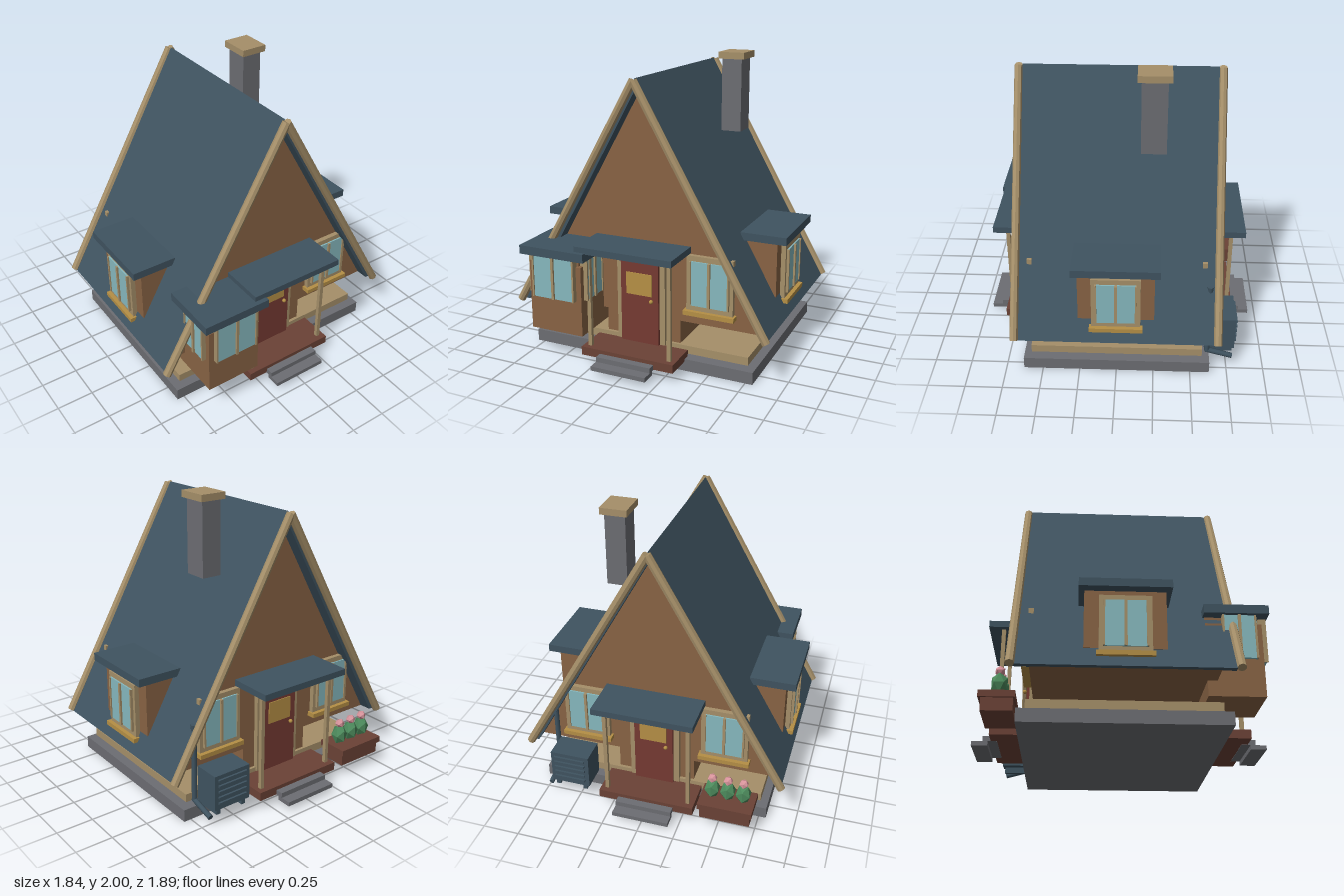
import * as THREE from 'three';

const mat = (name, color, extra = {}) => Object.assign(new THREE.MeshStandardMaterial({ color, ...extra }), { name });

export function createModel() {
  const root = new THREE.Group();
  root.name = 'cabin';
  const M = {
    timber: mat('timber', 0xa58f69),
    wall: mat('wall', 0x886344),
    slate: mat('slate', 0x3f5360),
    door: mat('door red', 0x753a32),
    porch: mat('porch wood', 0x6b4236),
    glass: mat('glass', 0x86b8be),
    gold: mat('gold', 0xb58f45),
    stone: mat('stone', 0x6c6d72),
    leaf: mat('leaf', 0x4c8a5c),
    petal: mat('petal', 0xd8949c),
  };
  for (const m of [M.leaf, M.petal, M.timber]) m.flatShading = true;

  const add = (parent, name, geo, m, x = 0, y = 0, z = 0) => {
    const mesh = new THREE.Mesh(geo, m);
    mesh.name = name;
    mesh.position.set(x, y, z);
    parent.add(mesh);
    return mesh;
  };
  // Box given by its limits on each axis
  const box = (parent, name, m, x0, x1, y0, y1, z0, z1) =>
    add(parent, name, new THREE.BoxGeometry(x1 - x0, y1 - y0, z1 - z0), m, (x0 + x1) / 2, (y0 + y1) / 2, (z0 + z1) / 2);
  const group = (name, parent = root) => {
    const g = new THREE.Group();
    g.name = name;
    parent.add(g);
    return g;
  };
  // Round bar between two points
  const rod = (parent, name, m, a, b, r, sides = 8) => {
    const d = b.clone().sub(a);
    const mesh = add(parent, name, new THREE.CylinderGeometry(r, r, d.length(), sides), m);
    mesh.position.copy(a).add(b).multiplyScalar(0.5);
    mesh.quaternion.setFromUnitVectors(new THREE.Vector3(0, 1, 0), d.normalize());
    return mesh;
  };
  const V = (x, y, z) => new THREE.Vector3(x, y, z);
  // Prism with a flat outline, centred on z = 0
  const prism = (pts, depth) => new THREE.ExtrudeGeometry(
    new THREE.Shape(pts.map(p => new THREE.Vector2(...p))), { depth, bevelEnabled: false }).translate(0, 0, -depth / 2);

  // Two-pane window, built facing +z and turned into place
  const windowUnit = (name, x, y, z, turn, w, h, framed) => {
    const g = group(name);
    g.position.set(x, y, z);
    g.rotation.y = turn;
    if (framed) {
      box(g, 'windowTrim', M.timber, -w / 2 - 0.03, w / 2 + 0.03, -h / 2 - 0.035, h / 2 + 0.035, 0, 0.032);
      box(g, 'windowSill', M.gold, -w / 2 - 0.045, w / 2 + 0.045, -h / 2 - 0.065, -h / 2 - 0.035, 0, 0.06);
    }
    box(g, 'pane', M.glass, -w / 2, w / 2, -h / 2, h / 2, 0, 0.042);
    box(g, 'mullion', M.timber, -0.009, 0.009, -h / 2, h / 2, 0.03, 0.055);
    for (const s of [-1, 1])
      box(g, 'sash', M.timber, s * w / 2 - 0.006, s * w / 2 + 0.006, -h / 2, h / 2, 0, 0.05);
  };

  // Base
  box(root, 'foundation', M.stone, -0.8, 0.8, 0, 0.083, -0.63, 0.63);
  box(root, 'floorDeck', M.timber, -0.75, 0.75, 0.1, 0.155, -0.58, 0.58);
  box(root, 'lowerWall', M.wall, -0.27, 0.27, 0.155, 0.32, -0.56, 0.56);

  // Steep body and roof
  add(root, 'gableBody', prism([[-0.855, 0.315], [0.855, 0.315], [0, 1.835]], 1.12), M.wall);
  add(root, 'roof', prism([[-0.892, 0.315], [-0.848, 0.315], [0, 1.825], [0.848, 0.315], [0.892, 0.315], [0, 1.9]], 1.29), M.slate);
  for (const z of [-0.67, 0.67])
    for (const s of [-1, 1])
      rod(root, 'bargeLog', M.timber, V(0, 1.888, z), V(s * 0.895, 0.318, z), 0.028);

  // Chimney
  box(root, 'chimney', M.stone, 0.265, 0.405, 1.46, 1.96, -0.308, -0.143);
  box(root, 'chimneyCap', M.timber, 0.245, 0.428, 1.955, 2.0, -0.333, -0.118);

  // Side dormers
  for (const s of [-1, 1]) {
    const span = (a, b) => (s > 0 ? [a, b] : [-b, -a]);
    box(root, 'dormerWall', M.wall, ...span(0.5, 0.818), 0.455, 0.835, -0.25, 0.25);
    box(root, 'dormerRoof', M.slate, ...span(0.575, 0.888), 0.832, 0.885, -0.285, 0.285);
    windowUnit('dormerWindow', s * 0.818, 0.605, 0, s * Math.PI / 2, 0.26, 0.3, true);
  }

  // Gable windows; the front right-hand place is taken by the bay
  windowUnit('frontWindow', 0.485, 0.605, 0.56, 0, 0.26, 0.3, true);
  for (const s of [-1, 1]) windowUnit('backWindow', s * 0.485, 0.605, -0.56, Math.PI, 0.26, 0.3, true);

  // Entrance with porch, canopy and steps at both ends
  for (const turn of [0, Math.PI]) {
    const e = group(turn ? 'backEntrance' : 'frontEntrance');
    e.rotation.y = turn;
    box(e, 'porchDeck', M.porch, -0.332, 0.332, 0.068, 0.126, 0.581, 0.82);
    box(e, 'upperStep', M.stone, -0.195, 0.195, 0.066, 0.1, 0.78, 0.872);
    box(e, 'lowerStep', M.stone, -0.195, 0.195, 0.037, 0.066, 0.84, 0.943);
    box(e, 'canopy', M.slate, -0.342, 0.342, 0.795, 0.838, 0.55, 0.864);
    for (const s of [-1, 1])
      box(e, 'porchPost', M.timber, s * 0.287 - 0.013, s * 0.287 + 0.013, 0.126, 0.796, 0.757, 0.783);
    box(e, 'doorTrim', M.timber, -0.176, 0.172, 0.13, 0.78, 0.555, 0.592);
    box(e, 'door', M.door, -0.138, 0.134, 0.13, 0.732, 0.57, 0.612);
    box(e, 'doorPanel', M.gold, -0.097, 0.09, 0.47, 0.622, 0.611, 0.618);
    add(e, 'doorKnob', new THREE.SphereGeometry(0.014, 10, 8), M.gold, 0.088, 0.44, 0.627);
  }

  // Bay at the front
  box(root, 'bayWall', M.wall, -0.688, -0.303, 0.215, 0.692, 0.5, 0.852);
  box(root, 'bayUpperWall', M.wall, -0.66, -0.33, 0.69, 0.75, 0.5, 0.83);
  box(root, 'bayRoof', M.slate, -0.735, -0.26, 0.744, 0.802, 0.49, 0.895);
  windowUnit('bayFrontWindow', -0.495, 0.6, 0.838, 0, 0.3, 0.285, false);
  windowUnit('bayInnerWindow', -0.325, 0.6, 0.71, Math.PI / 2, 0.2, 0.285, false);
  windowUnit('bayOuterWindow', -0.668, 0.6, 0.71, -Math.PI / 2, 0.2, 0.285, false);

  // Planter with three flowering plants
  box(root, 'planter', M.porch, -0.725, -0.385, 0.09, 0.185, -0.84, -0.65);
  box(root, 'planterRim', M.porch, -0.74, -0.372, 0.17, 0.212, -0.857, -0.64);
  for (const x of [-0.66, -0.555, -0.448]) {
    const bush = add(root, 'bush', new THREE.IcosahedronGeometry(0.056, 0), M.leaf, x, 0.275, -0.74);
    bush.scale.y = 1.35;
    add(root, 'blossom', new THREE.IcosahedronGeometry(0.033, 0), M.petal, x, 0.358, -0.74);
  }

  // Cooling unit with louvres
  box(root, 'coolingUnit', M.slate, 0.412, 0.685, 0.12, 0.36, -0.802, -0.62);
  for (let i = 0; i < 5; i++)
    box(root, 'louvre', M.slate, 0.44, 0.66, 0.16 + i * 0.04, 0.173 + i * 0.04, -0.816, -0.8);
  for (const x of [0.45, 0.65]) box(root, 'unitFoot', M.slate, x - 0.015, x + 0.015, 0.08, 0.12, -0.79, -0.6);

  // Downpipe with an outlet leaning away from the wall
  rod(root, 'downpipe', M.slate, V(0.708, 0.63, -0.615), V(0.708, 0.115, -0.615), 0.018);
  rod(root, 'pipeOutlet', M.slate, V(0.708, 0.125, -0.605), V(0.708, 0.075, -0.785), 0.018);
  add(root, 'pipeCollar', new THREE.CylinderGeometry(0.022, 0.018, 0.035, 8), M.slate, 0.708, 0.635, -0.615);

  return root;
}
